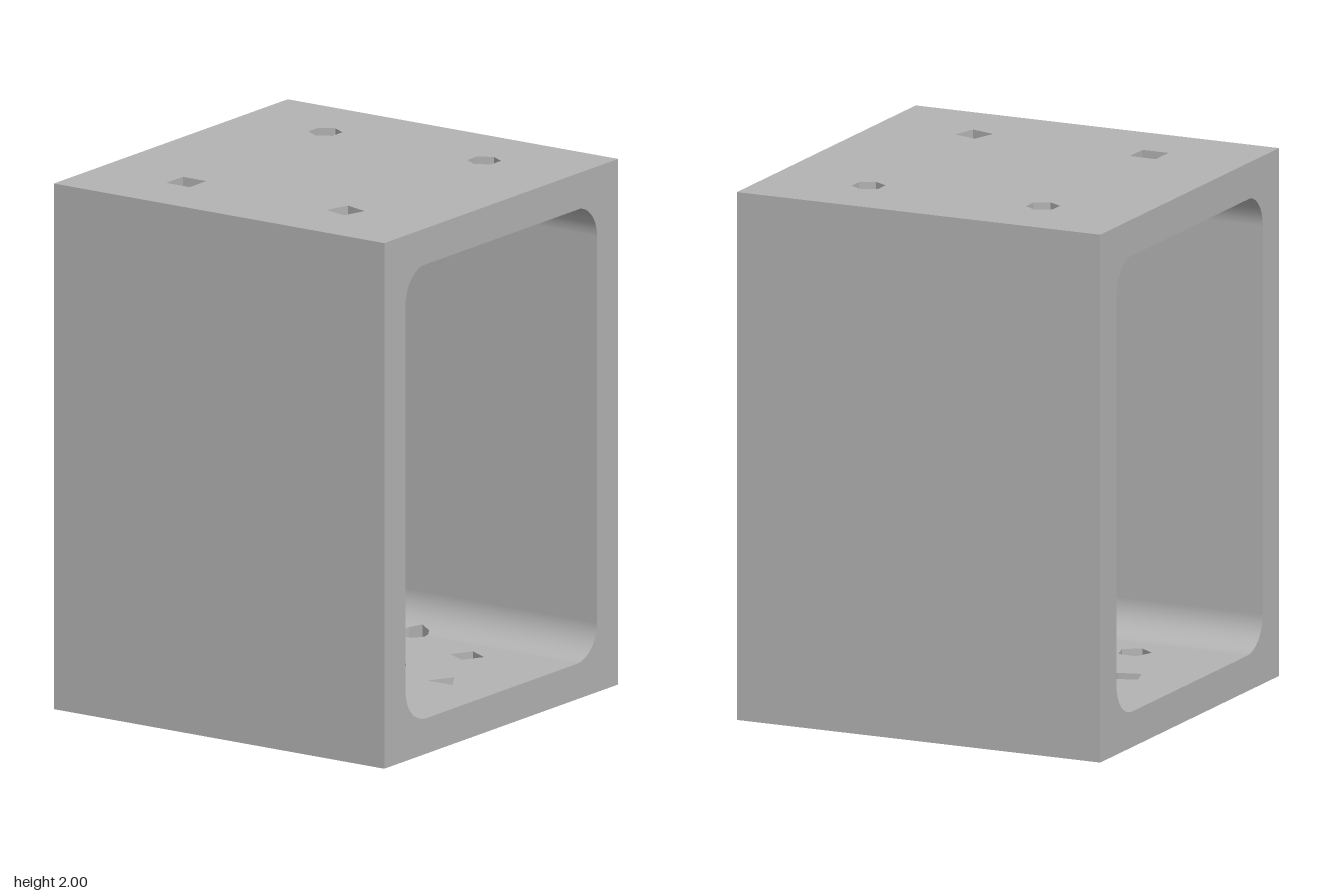
import * as THREE from 'three';

const W = 0.745, H = 2;                // outer half width / half depth, height
const WALL = 0.135, R = 0.13;          // wall thickness, inner corner radius
const CX = W - WALL - R, CY = WALL + R; // centre of an inner corner arc
const STEPS = 8;

// Points of one inner corner, from the floor or ceiling round to the side wall
const arcPoint = (i) => {
  const t = (i / STEPS) * Math.PI / 2;
  return [CX + R * Math.sin(t), CY - R * Math.cos(t)];
};

// Half outline of a bolt hole that runs into a floor corner: [x, half width]
const edgeHole = [
  [0.43, 0], [0.45, 0.042], [CX, 0.06],
  [arcPoint(1)[0], 0.058], [arcPoint(2)[0], 0.045], [arcPoint(3)[0], 0],
];
const halfWidthAt = (i) => (i < 3 ? edgeHole[i + 2][1] : 0);

function polygon(x, z, r, sides, turn = 0) {
  return Array.from({ length: sides }, (_, i) => {
    const a = turn + (i / sides) * Math.PI * 2;
    return [x + r * Math.cos(a), z + r * Math.sin(a)];
  });
}

const rect = (x0, y0, x1, y1) => [[x0, y0], [x1, y0], [x1, y1], [x0, y1]];

// Collects triangles into one surface, flat unless a normal rule is given
class Surface {
  constructor() {
    this.pos = [];
    this.nor = [];
  }

  tri(a, b, c, rule) {
    const [va, vb, vc] = [a, b, c].map((p) => new THREE.Vector3(...p));
    const flat = vb.clone().sub(va).cross(vc.clone().sub(va)).normalize().toArray();
    for (const p of [a, b, c]) {
      this.pos.push(...p);
      this.nor.push(...(rule ? rule(p) : flat));
    }
  }

  quad(a, b, c, d, flip, rule) {
    if (flip) [b, d] = [d, b];
    this.tri(a, b, c, rule);
    this.tri(a, c, d, rule);
  }

  // Flat sheet with holes, placed in space by a mapping of its 2D points
  sheet(outline, holes, place, flip) {
    const vec = (pts) => pts.map((p) => new THREE.Vector2(...p));
    const shape = new THREE.Shape(vec(outline));
    shape.holes = holes.map((h) => new THREE.Path(vec(h)));
    const g = new THREE.ShapeGeometry(shape);
    const p = g.attributes.position, idx = g.index;
    const at = (i) => place(p.getX(idx.getX(i)), p.getY(idx.getX(i)));
    for (let i = 0; i < idx.count; i += 3) {
      if (flip) this.tri(at(i), at(i + 2), at(i + 1));
      else this.tri(at(i), at(i + 1), at(i + 2));
    }
  }

  // Wall of a vertical hole; loop runs from +x towards +z
  holeWall(loop, low, high) {
    loop.forEach((a, i) => {
      const b = loop[(i + 1) % loop.length];
      this.quad([a[0], low(a[0]), a[1]], [b[0], low(b[0]), b[1]],
        [b[0], high(b[0]), b[1]], [a[0], high(a[0]), a[1]]);
    });
  }

  mesh(name, material) {
    const g = new THREE.BufferGeometry();
    g.setAttribute('position', new THREE.Float32BufferAttribute(this.pos, 3));
    g.setAttribute('normal', new THREE.Float32BufferAttribute(this.nor, 3));
    const m = new THREE.Mesh(g, material);
    m.name = name;
    return m;
  }
}

export function createModel() {
  const grey = new THREE.MeshStandardMaterial({ color: 0xb3b3b3 });
  grey.name = 'plain grey';
  const s = new Surface();

  // Inner outline of the frame; the ceiling starts one arc step in
  const opening = [];
  for (let i = 0; i <= STEPS; i++) opening.push(arcPoint(i));
  for (let i = STEPS; i >= 1; i--) opening.push([arcPoint(i)[0], H - arcPoint(i)[1]]);
  const inner = [...opening, ...opening.map(([x, y]) => [-x, y]).reverse()];

  // Front and back frame faces, outer and inner side walls
  for (const side of [1, -1]) {
    s.sheet(rect(-W, 0, W, H), [inner], (x, y) => [x, y, side * W], side < 0);
    s.sheet(rect(-W, 0, W, H), [], (z, y) => [side * W, y, z], side > 0);
    s.sheet(rect(-W, CY, W, H - CY), [], (z, y) => [side * (W - WALL), y, z], side < 0);
  }

  // Rounded inner corners; the floor pair is cut by the edge bolt holes
  for (const sx of [1, -1]) for (const sy of [1, -1]) {
    const at = (i, z) => {
      const [x, y] = arcPoint(i);
      return [sx * x, sy > 0 ? y : H - y, z];
    };
    const cy = sy > 0 ? CY : H - CY;
    const rule = ([x, y]) => [(sx * CX - x) / R, (cy - y) / R, 0];
    for (let i = sy > 0 ? 0 : 1; i < STEPS; i++) {
      const h0 = sy > 0 ? halfWidthAt(i) : 0, h1 = sy > 0 ? halfWidthAt(i + 1) : 0;
      s.quad(at(i, -W), at(i + 1, -W), at(i + 1, -h1), at(i, -h0), sx * sy > 0, rule);
      s.quad(at(i, h0), at(i + 1, h1), at(i + 1, W), at(i, W), sx * sy > 0, rule);
    }
  }

  // Top plate with four screw holes
  const topHoles = [
    polygon(-0.445, -0.36, 0.075, 4, Math.PI / 4),
    polygon(-0.442, 0.357, 0.07, 4, -0.5),
    polygon(0.441, -0.36, 0.063, 6),
    polygon(0.441, 0.355, 0.063, 6),
  ];
  const [ceilX, ceilDrop] = arcPoint(1);
  s.sheet(rect(-W, -W, W, W), topHoles, (x, z) => [x, H, z], true);
  s.sheet(rect(-ceilX, -W, ceilX, W), topHoles, (x, z) => [x, H - ceilDrop, z], false);
  topHoles.forEach((h) => s.holeWall(h, () => H - ceilDrop, () => H));

  // Bottom plate: centre bore and a ring of bolt holes
  const floorHoles = [polygon(0, 0, 0.265, 12, 0.15)];
  const ring = [[45, 4], [90, 3], [135, 4], [225, 5], [270, 4], [315, 4]];
  for (const [deg, sides] of ring) {
    const a = THREE.MathUtils.degToRad(deg);
    floorHoles.push(polygon(0.49 * Math.cos(a), 0.49 * Math.sin(a), 0.065, sides, a + 0.5));
  }
  const rightHole = [
    ...[...edgeHole].reverse().map(([x, h]) => [x, h]),
    ...edgeHole.slice(1, -1).map(([x, h]) => [x, -h]),
  ];
  const leftHole = rightHole.map(([x, z]) => [-x, z]).reverse();
  const allHoles = [...floorHoles, rightHole, leftHole];

  // Floor outline, notched where the edge holes cross into the corners
  const notch = [[CX, -0.06], [0.45, -0.042], [0.43, 0], [0.45, 0.042], [CX, 0.06]];
  const rightEdge = [[CX, -W], ...notch, [CX, W]];
  const floor = [...rightEdge, ...rightEdge.map(([x, z]) => [-x, z]).reverse()];
  const floorY = (x) => {
    const d = Math.max(0, Math.abs(x) - CX);
    return CY - Math.sqrt(R * R - d * d);
  };
  s.sheet(rect(-W, -W, W, W), allHoles, (x, z) => [x, 0, z], false);
  s.sheet(floor, floorHoles, (x, z) => [x, WALL, z], true);
  allHoles.forEach((h) => s.holeWall(h, () => 0, floorY));

  const model = new THREE.Group();
  model.name = 'mounting bracket';
  model.add(s.mesh('housing', grey));
  return model;
}
